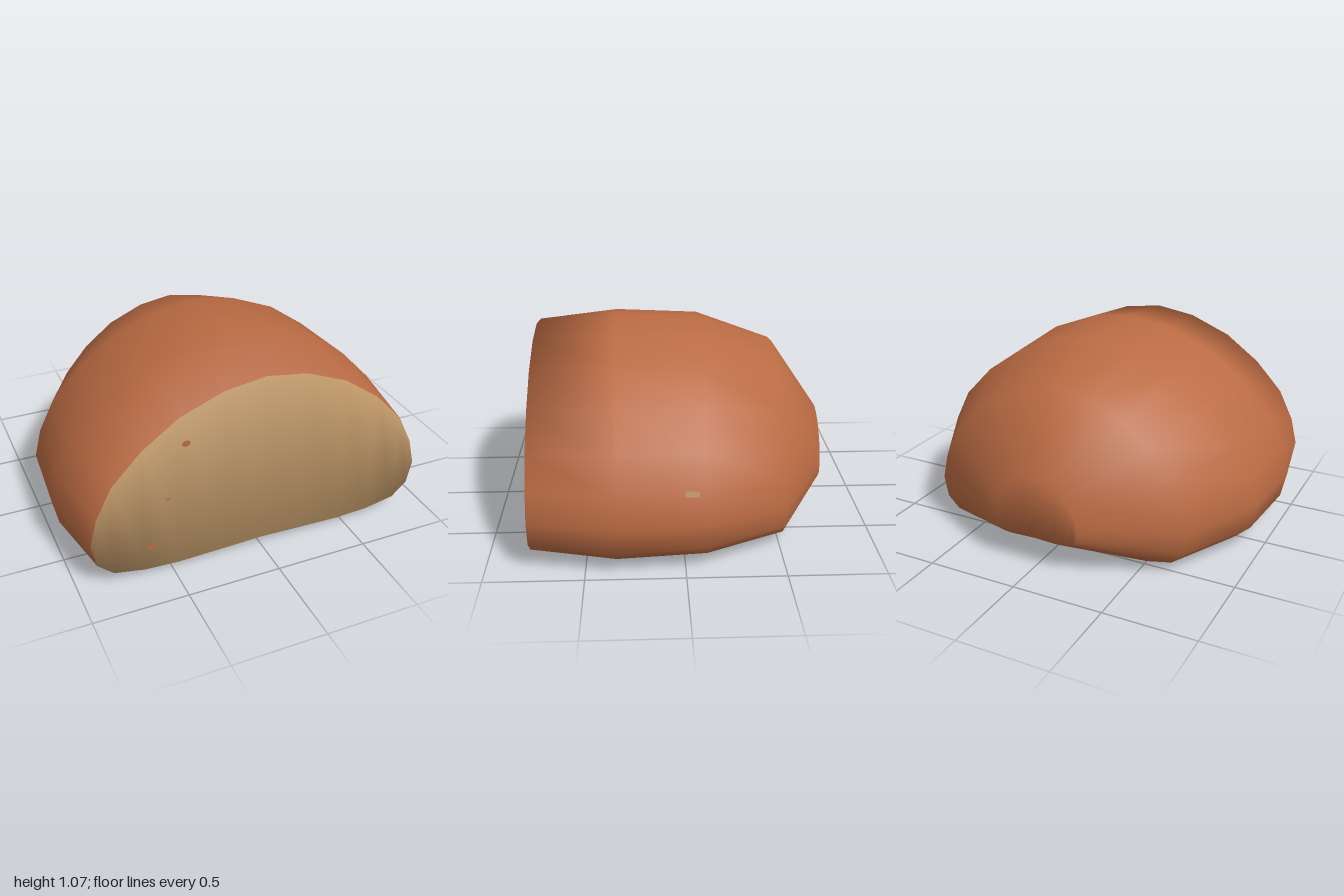
import * as THREE from 'three';

const crust = new THREE.MeshStandardMaterial({ color: 0xba6b43 });
crust.name = 'crust';
const crumb = new THREE.MeshStandardMaterial({ color: 0xc09868 });
crumb.name = 'crumb';

// right half of the loaf's widest cross-section, bottom centre to top centre
const half = [
  [0, 0.02], [0.24, 0.012], [0.5, 0.005], [0.7, 0.015], [0.88, 0.05], [0.97, 0.13], [1, 0.27],
  [0.96, 0.43], [0.87, 0.61], [0.7, 0.79], [0.49, 0.94], [0.24, 1.04], [0, 1.075],
];
const profile = [...half, ...half.slice(1, -1).reverse().map(([x, y]) => [-x, y])];
const N = profile.length;

// [z, half width, lowest y, highest y], from the cut face to the rounded end
const rings = [
  [0.78, 0.925, 0.035, 1.025],
  [0.345, 1, 0.005, 1.075],
  [-0.11, 0.97, 0.015, 1.055],
  [-0.52, 0.75, 0.03, 0.91],
  [-0.78, 0.255, 0.17, 0.525],
];

function loafGeometry() {
  const positions = [];
  const index = [];
  for (const [z, w, lo, hi] of rings) {
    for (const [x, y] of profile) positions.push(x * w, lo + ((y - 0.005) / 1.07) * (hi - lo), z);
  }

  // crust around the side
  for (let r = 0; r < rings.length - 1; r++) {
    for (let i = 0; i < N; i++) {
      const j = (i + 1) % N;
      const a = r * N + i, b = r * N + j, c = a + N, d = b + N;
      index.push(a, c, b, b, c, d);
    }
  }

  // end caps in columns, sharing the rim so the shading stays soft
  const cap = (base, flip) => {
    const side = N / 4;
    for (let k = 0; k < N / 2; k++) {
      const u0 = base + side + k, u1 = u0 + 1;
      const l0 = base + ((side - k + N) % N), l1 = base + ((side - k - 1 + N) % N);
      for (const [a, b, c] of [[u0, u1, l0], [u1, l1, l0]]) {
        if (a === b || b === c || a === c) continue;
        index.push(...(flip ? [a, c, b] : [a, b, c]));
      }
    }
  };
  cap((rings.length - 1) * N, true);
  const crustCount = index.length;
  cap(0, false);

  const geometry = new THREE.BufferGeometry();
  geometry.setAttribute('position', new THREE.Float32BufferAttribute(positions, 3));
  geometry.setIndex(index);
  geometry.addGroup(0, crustCount, 0);
  geometry.addGroup(crustCount, index.length - crustCount, 1);
  geometry.computeVertexNormals();
  return geometry;
}

export function createModel() {
  const model = new THREE.Group();
  model.name = 'halfLoaf';

  const loaf = new THREE.Mesh(loafGeometry(), [crust, crumb]);
  loaf.name = 'loaf';
  model.add(loaf);

  // crust flecks on the cut face
  for (const [x, y, r] of [[-0.42, 0.75, 0.023], [-0.61, 0.18, 0.023], [-0.52, 0.45, 0.01]]) {
    const fleck = new THREE.Mesh(new THREE.CircleGeometry(r, 10), crust);
    fleck.name = 'crustFleck';
    fleck.scale.y = 0.75;
    fleck.position.set(x, y, 0.783);
    model.add(fleck);
  }

  // pale patch on the crust
  const patch = new THREE.Mesh(new THREE.BoxGeometry(0.008, 0.028, 0.07), crumb);
  patch.name = 'palePatch';
  patch.position.set(0.94, 0.43, -0.03);
  patch.rotation.set(0, -0.07, 0.3);
  model.add(patch);

  return model;
}
